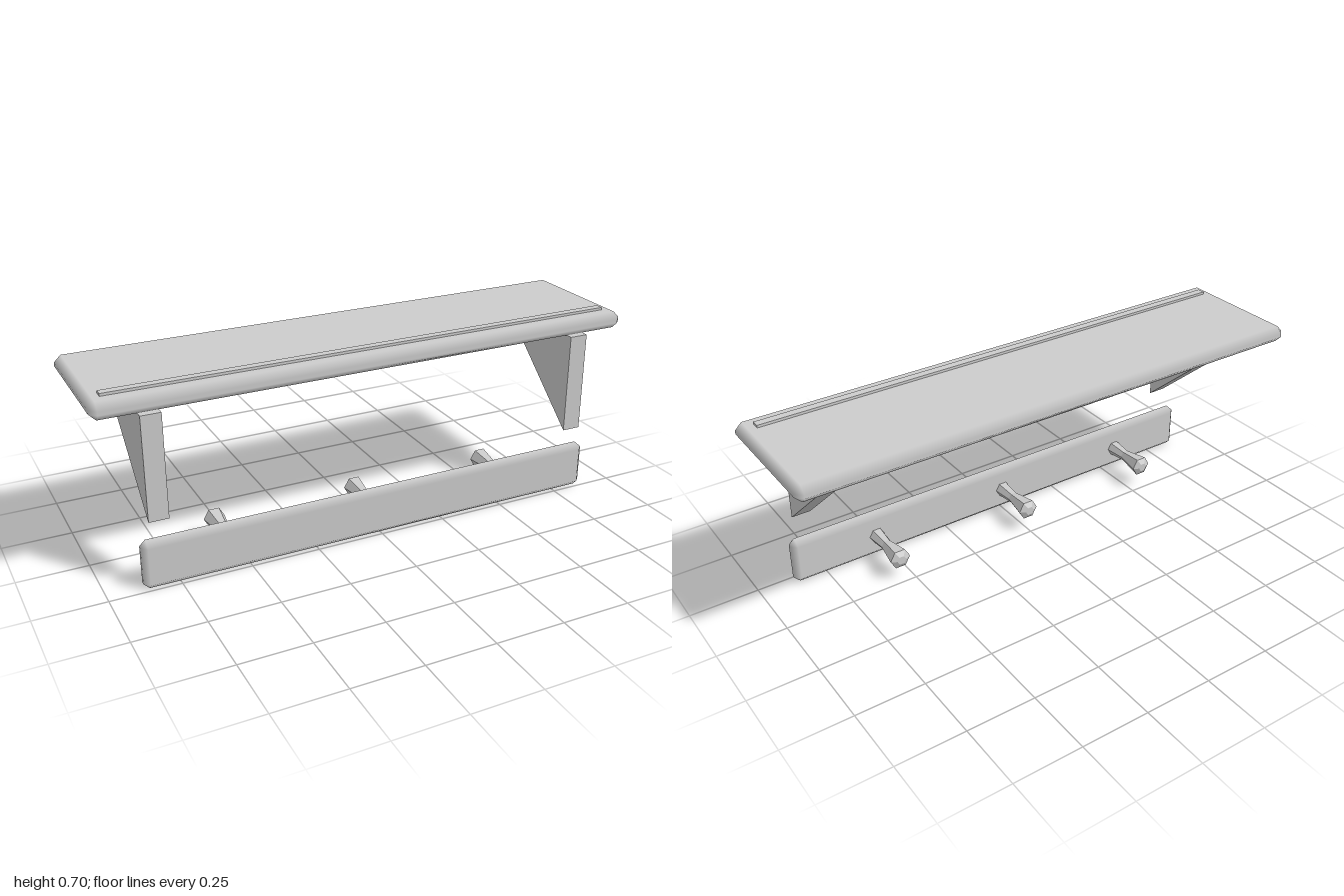
import * as THREE from 'three';
import { ConvexGeometry } from 'three/addons/geometries/ConvexGeometry.js';

// Box with one chamfer step on every edge; bevels shade softly between flat faces
function chamferBox(w, h, d, c) {
  const half = [w / 2, h / 2, d / 2];
  const points = [];
  for (const sx of [-1, 1]) for (const sy of [-1, 1]) for (const sz of [-1, 1]) {
    const s = [sx, sy, sz];
    for (let axis = 0; axis < 3; axis++) {
      points.push(new THREE.Vector3(...s.map((v, i) => v * (i === axis ? half[i] : half[i] - c))));
    }
  }
  const geo = new ConvexGeometry(points);
  const pos = geo.attributes.position;
  for (let i = 0; i < pos.count; i++) {
    const p = [pos.getX(i), pos.getY(i), pos.getZ(i)];
    geo.attributes.normal.setXYZ(i, ...p.map((v, k) => (Math.abs(v) > half[k] - 1e-4 ? Math.sign(v) : 0)));
  }
  return geo;
}

export function createModel() {
  const group = new THREE.Group();
  const grey = new THREE.MeshStandardMaterial({ color: 0xcccccc });
  grey.name = 'plain grey';
  const add = (name, geo, x, y, z) => {
    const mesh = new THREE.Mesh(geo, grey);
    mesh.name = name;
    mesh.position.set(x, y, z);
    group.add(mesh);
  };

  // Shelf board with a thin lip strip along its front
  add('shelfBoard', chamferBox(2, 0.061, 0.5, 0.024), 0, 0.6575, 0);
  add('shelfLip', new THREE.BoxGeometry(1.9, 0.013, 0.029), -0.002, 0.691, 0.175);

  // Triangular brackets below the shelf
  const triangle = new THREE.Shape([
    new THREE.Vector2(0.248, 0.252),
    new THREE.Vector2(0.248, 0.625),
    new THREE.Vector2(-0.174, 0.625),
  ]);
  const bracket = new THREE.ExtrudeGeometry(triangle, { depth: 0.07, bevelEnabled: false });
  bracket.translate(0, 0, -0.035).rotateY(-Math.PI / 2);
  add('leftBracket', bracket, 0.807, 0, 0);
  add('rightBracket', bracket, -0.813, 0, 0);

  // Peg rail
  add('pegRail', chamferBox(1.75, 0.176, 0.054, 0.02), -0.002, 0.088, 0.223);

  // Six-sided flared pegs
  const profile = [[0, -0.205], [0.03, -0.205], [0.0215, -0.12], [0.039, -0.02], [0.0175, -0.008], [0, -0.008]]
    .map(([r, y]) => new THREE.Vector2(r, y));
  const peg = new THREE.LatheGeometry(profile, 6, Math.PI / 6).rotateX(-Math.PI / 2).toNonIndexed();
  peg.computeVertexNormals();
  ['rightPeg', 'middlePeg', 'leftPeg'].forEach((name, i) => add(name, peg, (i - 1) * 0.55 - 0.002, 0.088, 0));

  return group;
}
